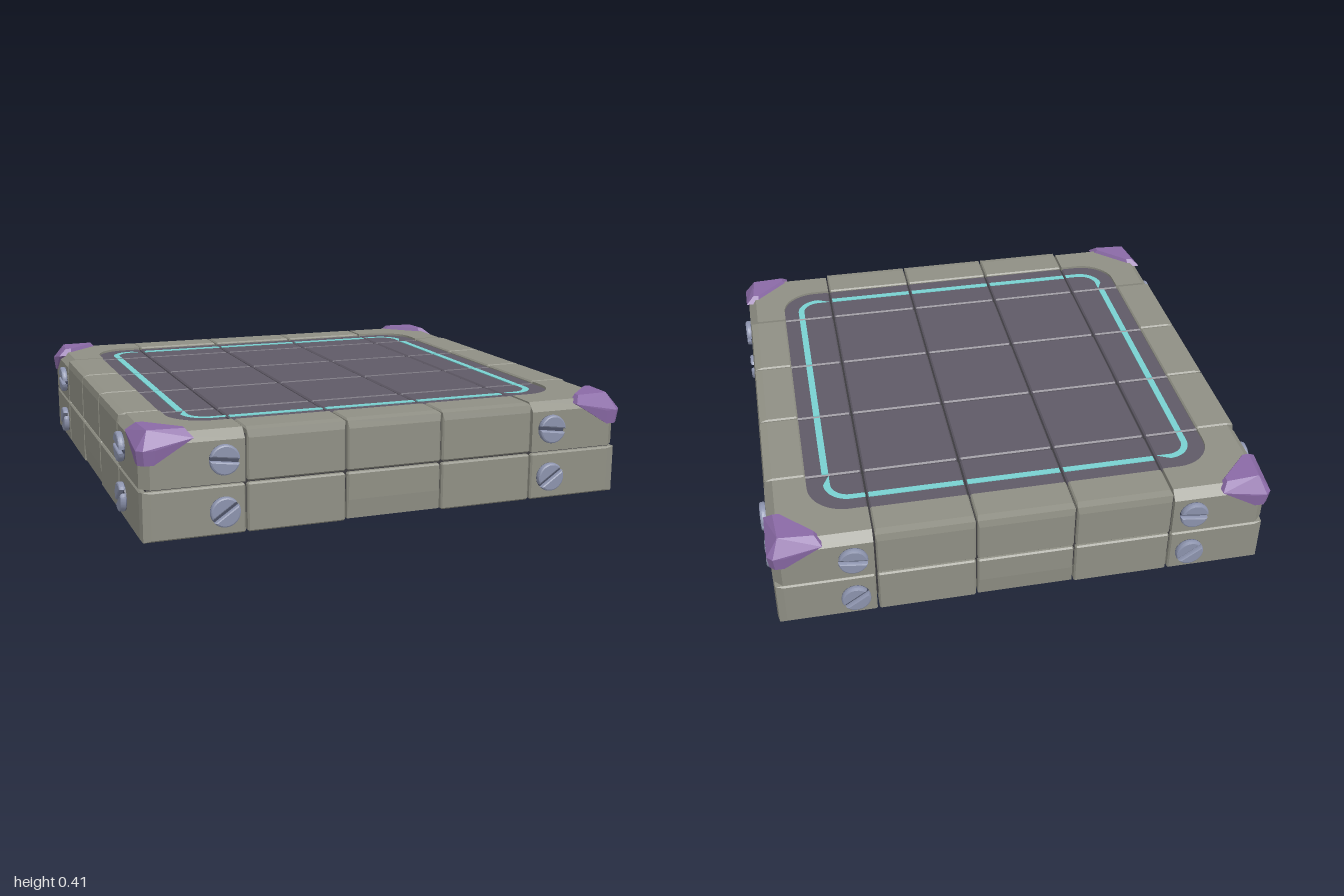
import * as THREE from 'three';
import { ConvexGeometry } from 'three/addons/geometries/ConvexGeometry.js';

const mat = (name, color, side = THREE.FrontSide) => {
  const m = new THREE.MeshStandardMaterial({ color, side });
  m.name = name;
  return m;
};

export function createModel() {
  const stone = mat('stone grey', 0x8f8f84);
  const panel = mat('panel grey', 0x5f5a66);
  const glow = mat('cyan', 0x78d0d0);
  const purple = mat('purple', 0x8a6aa6);
  const steel = mat('steel', 0x8c93ad);
  const slotDark = mat('slot dark', 0x4a4f63);
  const seam = mat('seam dark', 0x3c3b3e);

  const model = new THREE.Group();
  model.name = 'floorTile';
  const add = (parent, name, geometry, material) => {
    const m = new THREE.Mesh(geometry, material);
    m.name = name;
    parent.add(m);
    return m;
  };

  // Box whose chamfers [xy, xz, yz] may differ at each corner
  const C = 0.006;
  const small = () => [C, C, C];
  const chamferBox = (min, max, bevel = small) => {
    const pts = [];
    for (const sx of [-1, 1]) for (const sy of [-1, 1]) for (const sz of [-1, 1]) {
      const x = sx < 0 ? min[0] : max[0];
      const y = sy < 0 ? min[1] : max[1];
      const z = sz < 0 ? min[2] : max[2];
      const [xy, xz, yz] = bevel(sx, sy, sz);
      pts.push(
        new THREE.Vector3(x, y - sy * xy, z - sz * xz),
        new THREE.Vector3(x - sx * xy, y, z - sz * yz),
        new THREE.Vector3(x - sx * xz, y - sy * yz, z)
      );
    }
    return new ConvexGeometry(pts);
  };

  const P = 0.39, G = 0.004;             // tile pitch, half the seam
  const OUT = 0.975, RIM = 0.81, B = 0.035;
  const TOP = 0.39, MID = 0.19, FLOOR = 0.38;
  const IN = 1.5 * P + G;                // inner side of the border tiles

  // Dark core seen in the seams
  const core = (half, y0, y1) => {
    const m = add(model, 'seamCore', new THREE.BoxGeometry(half * 2, y1 - y0, half * 2), seam);
    m.position.y = (y0 + y1) / 2;
  };
  core(0.88, 0.015, 0.1);
  core(0.955, 0.07, 0.365);

  // Inner 3 x 3 tiles, seen from above and below
  for (const i of [-1, 0, 1]) for (const k of [-1, 0, 1]) {
    add(model, 'innerTile', chamferBox(
      [(i - 0.5) * P + G, 0, (k - 0.5) * P + G],
      [(i + 0.5) * P - G, FLOOR, (k + 0.5) * P - G]), panel);
  }

  // Corner rim with a rounded inner edge and a bevelled outer edge
  const cornerShape = new THREE.Shape();
  cornerShape.moveTo(RIM, IN);
  cornerShape.lineTo(OUT, IN);
  cornerShape.lineTo(OUT, OUT - B);
  cornerShape.lineTo(OUT - B, OUT);
  cornerShape.lineTo(IN, OUT);
  cornerShape.lineTo(IN, RIM);
  cornerShape.lineTo(0.66, RIM);
  cornerShape.absarc(0.66, 0.66, RIM - 0.66, Math.PI / 2, 0, true);
  const rimH = TOP - MID - G;
  const cornerRim = new THREE.ExtrudeGeometry(cornerShape, {
    depth: rimH, steps: 2, bevelEnabled: false, curveSegments: 10 });
  cornerRim.rotateX(-Math.PI / 2);
  const pos = cornerRim.attributes.position;
  for (let i = 0; i < pos.count; i++) {
    const y = pos.getY(i);
    if (y > rimH * 0.75) {
      pos.setX(i, Math.min(pos.getX(i), OUT - B));
      pos.setZ(i, Math.max(pos.getZ(i), B - OUT));
    } else if (y > rimH * 0.25) pos.setY(i, rimH - B);
  }
  cornerRim.translate(0, MID + G, 0);
  cornerRim.computeVertexNormals();

  // Rounded corner of the light strip
  const arcShape = new THREE.Shape();
  arcShape.moveTo(0.745, IN);
  arcShape.absarc(0.645, 0.645, 0.1, 0, Math.PI / 2, false);
  arcShape.lineTo(IN, 0.745);
  arcShape.lineTo(IN, 0.718);
  arcShape.absarc(0.645, 0.645, 0.073, Math.PI / 2, 0, true);
  arcShape.lineTo(0.718, IN);
  const lightCorner = new THREE.ShapeGeometry(arcShape, 10);
  lightCorner.rotateX(-Math.PI / 2);
  lightCorner.translate(0, FLOOR + 0.003, 0);

  // Corner guard, a faceted cap
  const guard = new ConvexGeometry([
    [0.805, 0.405, 0.95], [0.805, 0.405, 0.925], [0.94, 0.405, 0.94],
    [0.78, 0.375, 0.93], [0.78, 0.375, 0.985],
    [0.92, 0.34, 0.987], [0.965, 0.34, 0.987],
    [0.925, 0.285, 0.98], [0.96, 0.285, 0.98]
  ].flatMap(([x, y, z]) => [new THREE.Vector3(x, y, -z), new THREE.Vector3(z, y, -x)]));

  // Slotted screw head facing +z
  const halfShape = new THREE.Shape();
  const sr = 0.05, a0 = 0.26;
  halfShape.absarc(0, 0, sr, a0, Math.PI - a0, false);
  halfShape.closePath();
  const halfHead = new THREE.ExtrudeGeometry(halfShape, {
    depth: 0.008, bevelThickness: 0.009, bevelSize: 0.007, bevelSegments: 2, curveSegments: 12 });
  const screwBase = new THREE.CylinderGeometry(0.055, 0.055, 0.014, 24);
  screwBase.rotateX(Math.PI / 2);
  const makeScrew = (angle) => {
    const g = new THREE.Group();
    g.name = 'screw';
    add(g, 'screwSlot', screwBase, slotDark);
    for (const turn of [0, Math.PI]) {
      const h = add(g, 'screwHead', halfHead, steel);
      h.rotation.z = turn;
      h.position.z = 0.008;
    }
    g.rotation.z = angle;
    return g;
  };

  // One side with its corner, repeated four times around
  for (let q = 0; q < 4; q++) {
    const side = new THREE.Group();
    side.name = 'side';
    side.rotation.y = q * Math.PI / 2;
    model.add(side);

    for (const i of [-1, 0, 1]) {
      const x0 = (i - 0.5) * P + G, x1 = (i + 0.5) * P - G;
      // lower tile; the middle one has a sloped notch
      add(side, i ? 'lowerTile' : 'notchedTile', chamferBox([x0, 0, IN], [x1, MID - G, OUT],
        (sx, sy, sz) => [C, C, !i && sy < 0 && sz > 0 ? 0.08 : C]), stone);
      // upper rim and the sunken panel behind it
      add(side, 'rimTile', chamferBox([x0, MID + G, RIM], [x1, TOP, OUT],
        (sx, sy, sz) => [C, C, sy > 0 && sz > 0 ? B : C]), stone);
      add(side, 'panelTile', chamferBox([x0, MID + G, IN], [x1, FLOOR, 0.83]), panel);
      const strip = add(side, 'lightStrip', new THREE.BoxGeometry(x1 - x0 - 0.008, 0.006, 0.027), glow);
      strip.position.set(i * P, FLOOR, 0.7315);
    }

    // corner
    add(side, 'lowerCornerTile', chamferBox([IN, 0, -OUT], [OUT, MID - G, -IN],
      (sx, sy, sz) => [C, sx > 0 && sz < 0 ? B : C, C]), stone);
    add(side, 'cornerRim', cornerRim, stone);
    add(side, 'cornerPanel', chamferBox([IN, MID + G, -0.83], [0.83, FLOOR, -IN]), panel);
    add(side, 'lightCorner', lightCorner, glow);
    add(side, 'cornerGuard', guard, purple);

    // screws
    for (const x of [-0.67, 0.67]) for (const [y, angle] of [[0.285, -0.14], [0.09, 0.6]]) {
      const s = makeScrew(angle);
      s.position.set(x, y, OUT);
      side.add(s);
    }
  }
  return model;
}
